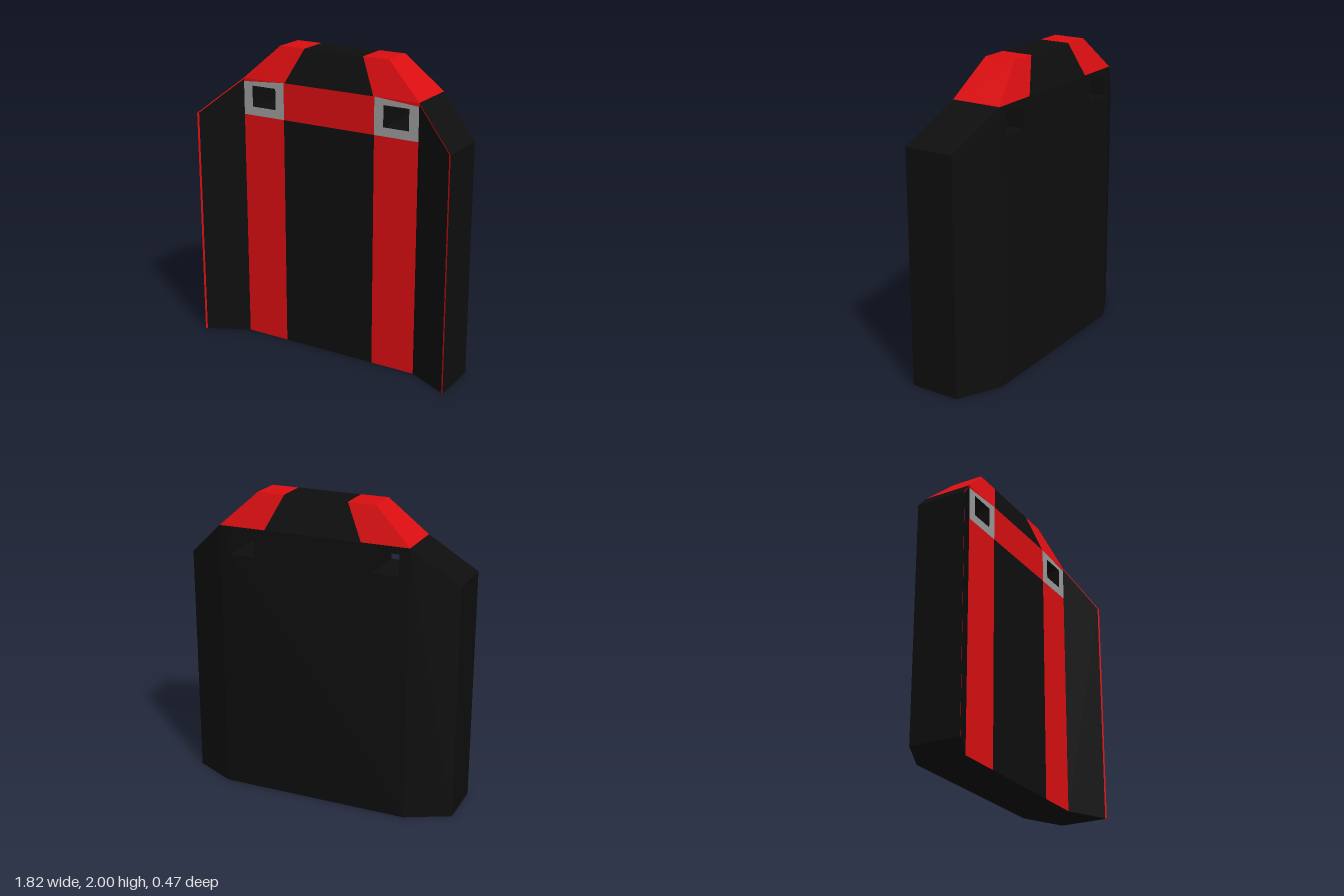
import * as THREE from 'three';

const mat = (name, color) => Object.assign(new THREE.MeshStandardMaterial({ color }), { name });

// The shell is two folded sheets (front and back) joined by a rim.
const FOLD = 0.63, SHOULDER = 1.78, TOP = 2;
const sheetZ = (base, crown) => (x, y) =>
  base + Math.max(0, Math.abs(x) - FOLD) * 0.5 * (y <= SHOULDER ? 1 : 0)
  + (crown - base) * Math.max(0, (y - SHOULDER) / (TOP - SHOULDER));
const frontZ = sheetZ(0.095, 0.03);
const backZ = sheetZ(-0.235, -0.175);

const mirror = (pts) => pts.map(([x, y]) => [-x, y]).reverse();
const toPath = (pts, Type) => new Type(pts.map(([x, y]) => new THREE.Vector2(x, y)));

export function createModel() {
  const group = new THREE.Group();
  const black = mat('black fabric', 0x0e0e0e);
  const red = mat('red fabric', 0xdc0e11);
  const grey = mat('grey trim', 0x9c9c9c);

  const add = (name, geometry, material) => {
    geometry.computeVertexNormals();
    const mesh = new THREE.Mesh(geometry, material);
    mesh.name = name;
    group.add(mesh);
  };

  // Flat outline laid onto the front or back sheet
  const panel = (name, material, pts, back = false, holes = []) => {
    const shape = toPath(pts, THREE.Shape);
    shape.holes = holes.map((h) => toPath(h, THREE.Path));
    const geo = new THREE.ShapeGeometry(shape);
    const p = geo.attributes.position;
    const zOf = back ? backZ : frontZ;
    for (let i = 0; i < p.count; i++) p.setZ(i, zOf(p.getX(i), p.getY(i)));
    if (back) geo.setIndex([...geo.index.array].reverse());
    add(name, geo, material);
  };
  const pair = (name, material, pts, back, holes = []) => {
    panel(name + 'Left', material, pts, back, holes);
    panel(name + 'Right', material, mirror(pts), back, holes.map(mirror));
  };

  // Strip joining the front sheet to the back sheet along one edge
  const rim = (name, material, a, b) => {
    const af = [...a, frontZ(...a)], ab = [...a, backZ(...a)];
    const bf = [...b, frontZ(...b)], bb = [...b, backZ(...b)];
    const geo = new THREE.BufferGeometry();
    geo.setAttribute('position', new THREE.Float32BufferAttribute(
      [af, ab, bb, af, bb, bf].flat(), 3));
    add(name, geo, material);
  };

  const hole = [[0.39, 1.597], [0.565, 1.597], [0.565, 1.735], [0.39, 1.735]];
  const wing = [[FOLD, 0], [0.91, 0], [0.91, 1.54], [FOLD, SHOULDER]];
  const crownSide = [[0.32, SHOULDER], [FOLD, SHOULDER], [0.39, TOP], [0.21, TOP]];
  const crownMiddle = [[-0.32, SHOULDER], [0.32, SHOULDER], [0.21, TOP], [-0.21, TOP]];

  // Front
  panel('frontCentre', black, [[-0.327, 0], [0.327, 0], [0.327, 1.54], [-0.327, 1.54]]);
  panel('frontBand', red, [[-0.327, 1.54], [0.327, 1.54], [0.327, SHOULDER], [-0.327, SHOULDER]]);
  pair('frontStripe', red, [[0.327, 0], [FOLD, 0], [FOLD, 1.54], [0.327, 1.54]]);
  pair('beltHoleTrim', grey,
    [[0.327, 1.54], [FOLD, 1.54], [FOLD, 1.757], [0.327, SHOULDER]], false, [hole]);
  pair('shoulderSliver', red, [[0.327, SHOULDER], [FOLD, 1.757], [FOLD, SHOULDER]]);
  pair('wingFront', black, [[FOLD, 0], [0.898, 0], [0.898, 1.541], [FOLD, 1.771]]);
  pair('wingPiping', red, [[0.898, 0], [0.91, 0], [0.91, 1.54],
    [FOLD, SHOULDER], [FOLD, 1.771], [0.898, 1.541]]);

  // Back
  panel('backCentre', black,
    [[-FOLD, 0], [FOLD, 0], [FOLD, SHOULDER], [-FOLD, SHOULDER]], true, [hole, mirror(hole)]);
  pair('wingBack', black, wing, true);

  // Crown, both faces
  for (const back of [false, true]) {
    const side = back ? 'Back' : 'Front';
    pair('crownSide' + side, red, crownSide, back);
    panel('crownMiddle' + side, black, crownMiddle, back);
  }

  // Outer rim
  const half = [[FOLD, 0], [0.91, 0], [0.91, 1.54], [FOLD, SHOULDER], [0.39, TOP], [0.21, TOP]];
  const names = ['wingBase', 'wingSide', 'wingTop', 'crownSlope', 'crownTop'];
  names.forEach((name, i) => {
    const material = i < 3 ? black : red;
    const [a, b] = [half[i], half[i + 1]];
    rim(name + 'Left', material, a, b);
    rim(name + 'Right', material, ...mirror([a, b]));
  });
  rim('crownTopMiddle', black, [0.21, TOP], [-0.21, TOP]);
  rim('base', black, [-FOLD, 0], [FOLD, 0]);

  // Walls of the belt holes, facing inwards
  for (const h of [hole, mirror(hole)]) {
    h.forEach((p, i) => rim('beltHoleWall', black, h[(i + 1) % 4], p));
  }
  return group;
}
